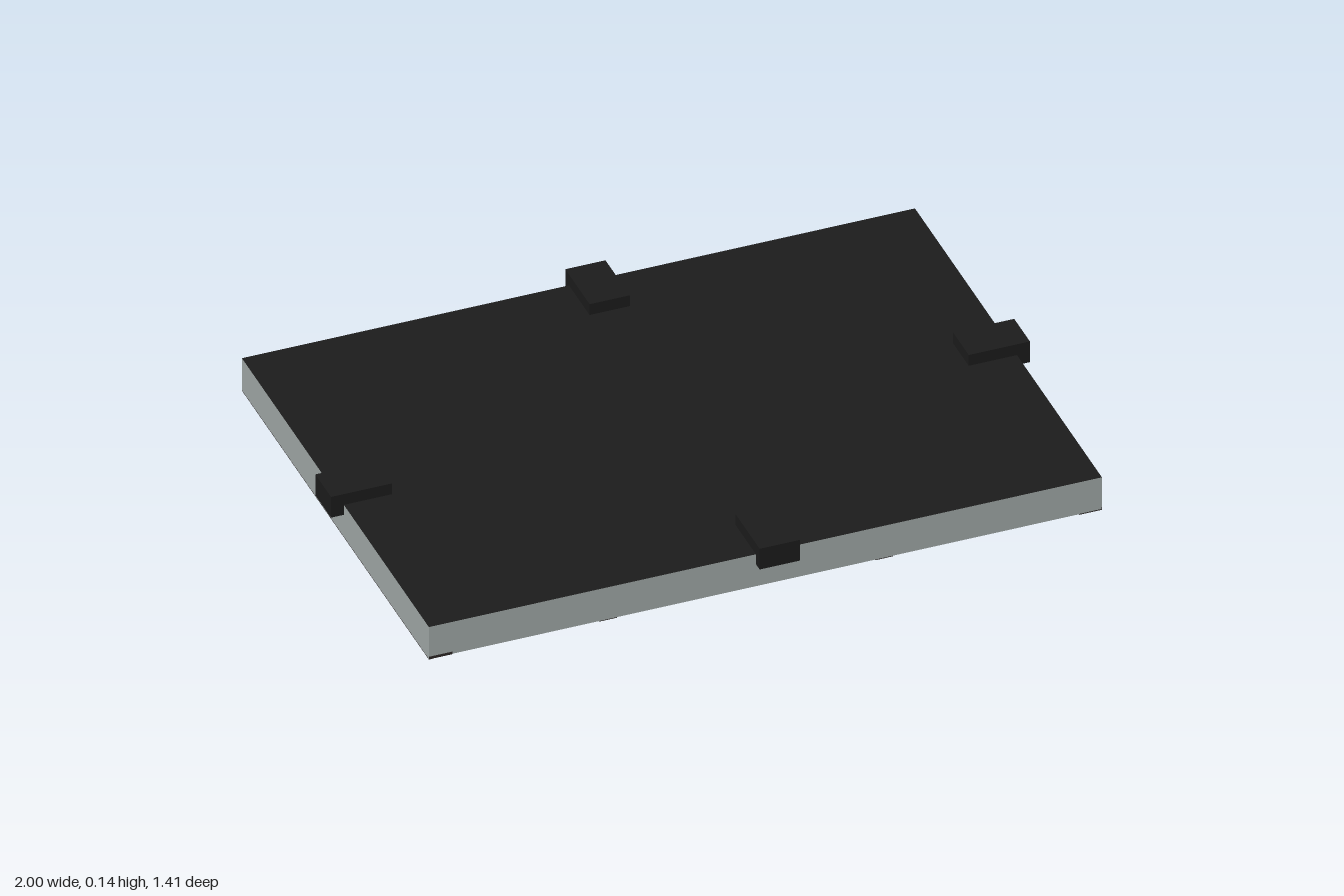
import * as THREE from 'three';

const mat = (name, color) => {
  const m = new THREE.MeshStandardMaterial({ color });
  m.name = name;
  return m;
};

export function createModel() {
  const black = mat('black', 0x1c1c1c);
  const grey = mat('side grey', 0xa2aaa9);
  const brown = mat('underside tan', 0xb9a88e);
  const slate = mat('worn slate', 0x9a9f9e);
  const dark = mat('border dark', 0x2c2625);
  const model = new THREE.Group();

  // Box given by its minimum and maximum corners
  const box = (name, min, max, material) => {
    const size = max.map((v, i) => v - min[i]);
    const mesh = new THREE.Mesh(new THREE.BoxGeometry(...size), material);
    mesh.position.set(...max.map((v, i) => (v + min[i]) / 2));
    mesh.name = name;
    model.add(mesh);
  };

  // Panel: grey edges, black top, tan underside
  const X = 0.963, Z = 0.68, H = 0.105;
  box('panel', [-X, 0.002, -Z], [X, H, Z], [grey, grey, black, brown, grey, grey]);

  // Four clips gripping the middle of each edge
  const low = 0.073, high = 0.14;
  for (const s of [-1, 1]) {
    const xs = [0.825 * s, s].sort((a, b) => a - b);
    box('sideClip', [xs[0], low, -0.052], [xs[1], high, 0.062], black);
    const zs = [0.53 * s, 0.707 * s].sort((a, b) => a - b);
    box('endClip', [-0.027, low, zs[0]], [0.088, high, zs[1]], black);
  }

  // Thin plate on the underside
  const plate = (name, x0, x1, z0, z1, material) =>
    box(name, [x0, 0, z0], [x1, 0.003, z1], material);

  // Dark borders and edge wear under the panel
  plate('undersideBorder', X - 0.03, X, -Z, Z, dark);
  plate('undersideBorder', -X, X - 0.03, -Z, -Z + 0.025, dark);
  plate('undersideBorder', -X, -X + 0.01, -Z + 0.025, Z, dark);
  plate('cornerWear', X - 0.065, X - 0.03, 0.52, Z, dark);
  plate('cornerStreak', 0.68, 0.91, -Z + 0.025, -Z + 0.05, slate);
  for (const x of [0.34, -0.45]) plate('edgeWear', x - 0.025, x + 0.025, Z - 0.015, Z, dark);

  // Small dark marks at the lower corners
  box('cornerMark', [-X, 0.001, Z - 0.001], [-0.895, 0.009, Z + 0.0005], dark);
  box('cornerMark', [X - 0.001, 0.001, 0.625], [X + 0.0005, 0.009, Z], dark);

  // Worn spots on the underside: x, z, half length, half width
  const spots = [
    [0.57, 0.03, 0.06, 0.035, dark],
    [0.555, -0.035, 0.045, 0.03, slate],
    [0.02, -0.46, 0.06, 0.045, slate],
    [-0.125, -0.465, 0.04, 0.035, slate],
  ];
  for (const [x, z, a, b, material] of spots) {
    const spot = new THREE.Mesh(new THREE.CircleGeometry(1, 14), material);
    spot.name = 'wornSpot';
    spot.scale.set(a, b, 1);
    spot.rotation.x = Math.PI / 2;
    spot.position.set(x, 0.0005, z);
    model.add(spot);
  }
  return model;
}
